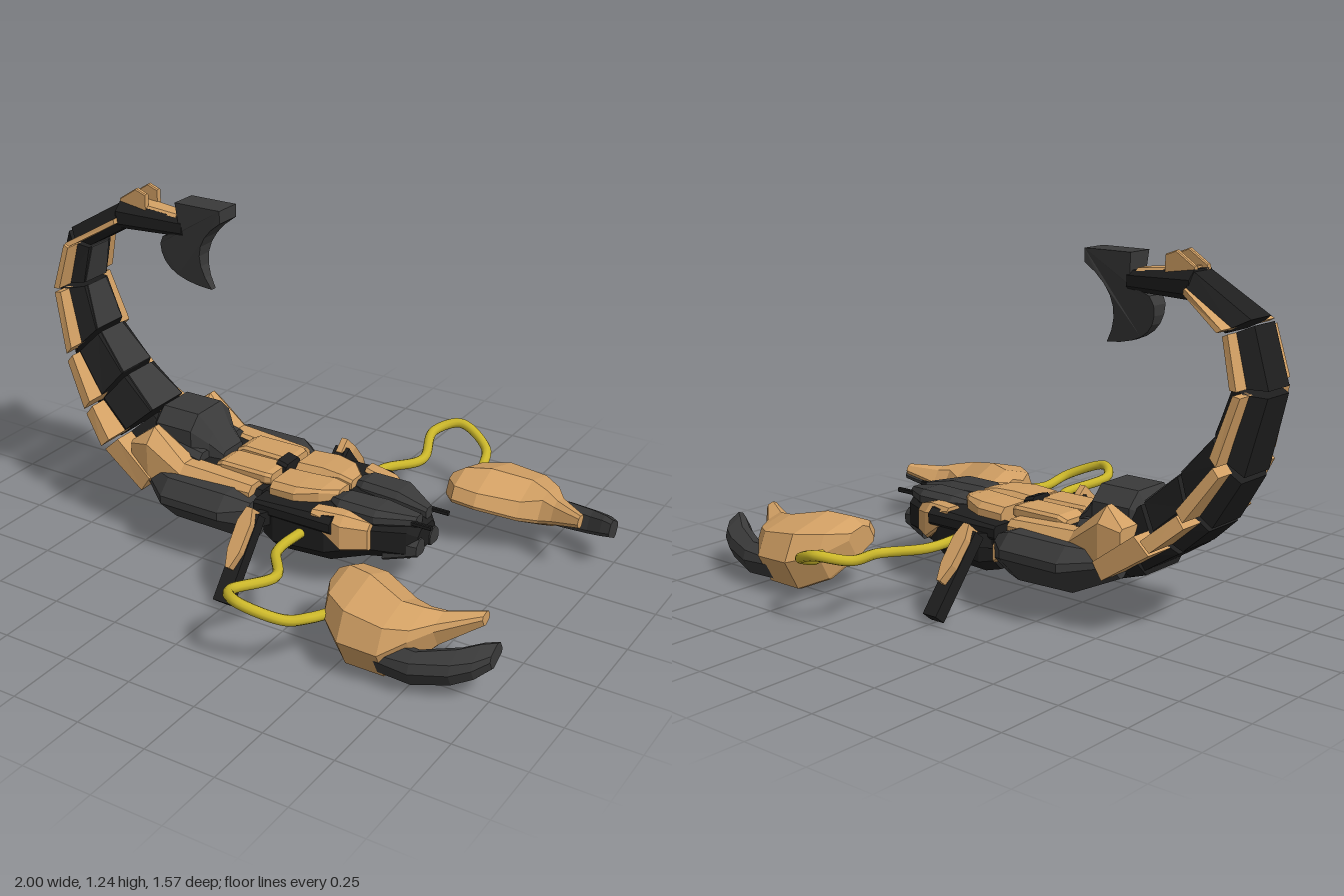
import * as THREE from 'three';

const mat = (name, color, extra = {}) =>
  Object.assign(new THREE.MeshStandardMaterial({ color, flatShading: true, ...extra }), { name });

export function createModel() {
  const root = new THREE.Group();
  const tan = mat('tan armour', 0xd2a064);
  const grey = mat('dark grey', 0x3a3a3a);
  const black = mat('black', 0x1e1e1e);
  const yellow = mat('cable yellow', 0xcab62a, { flatShading: false });

  const add = (name, geo, material) => {
    const m = new THREE.Mesh(geo, material);
    m.name = name;
    root.add(m);
  };

  // Closed skin over convex rings of [x, y, z]; winding is fixed from the signed volume
  function loft(rings) {
    const tris = [], n = rings[0].length, last = rings.length - 1;
    for (let i = 0; i < last; i++) for (let j = 0; j < n; j++) {
      const k = (j + 1) % n, a = rings[i], b = rings[i + 1];
      tris.push([a[j], a[k], b[k]], [a[j], b[k], b[j]]);
    }
    for (let j = 1; j < n - 1; j++) {
      tris.push([rings[0][0], rings[0][j + 1], rings[0][j]]);
      tris.push([rings[last][0], rings[last][j], rings[last][j + 1]]);
    }
    const v = (p) => new THREE.Vector3(...p), o = v(rings[0][0]);
    let volume = 0;
    for (const [a, b, c] of tris) volume += v(a).sub(o).dot(v(b).sub(o).cross(v(c).sub(o)));
    const pos = tris.flatMap((t) => (volume < 0 ? [t[0], t[2], t[1]] : t).flat());
    const g = new THREE.BufferGeometry();
    g.setAttribute('position', new THREE.Float32BufferAttribute(pos, 3));
    g.computeVertexNormals();
    return g;
  }

  // Rectangle section across x with chamfered top (ct) and bottom (cb) corners
  const section = ([x, y0, y1, z0, z1, ct = 0.01, cb = 0.01]) => [
    [x, y0, z0 + cb], [x, y0, z1 - cb], [x, y0 + cb, z1], [x, y1 - ct, z1],
    [x, y1, z1 - ct], [x, y1, z0 + ct], [x, y1 - ct, z0], [x, y0 + cb, z0]];
  // Centred hull: rows are x, y0, y1, half width, chamfers
  const centred = (name, m, rows) =>
    add(name, loft(rows.map(([x, y0, y1, w, ...c]) => section([x, y0, y1, -w, w, ...c]))), m);
  // Mirrored lofts on both sides of the body
  const mirror = (name, m, rings) => {
    for (const s of [1, -1]) {
      add((s > 0 ? 'left ' : 'right ') + name, loft(rings.map((r) => r.map(([x, y, z]) => [x, y, z * s]))), m);
    }
  };
  const pair = (name, m, rows, map = (p) => p) => mirror(name, m, rows.map((r) => section(r).map(map)));

  // Abdomen
  centred('abdomen', black, [
    [-0.58, 0.19, 0.34, 0.14, 0.04, 0.05], [-0.45, 0.15, 0.32, 0.18, 0.04, 0.08],
    [-0.25, 0.115, 0.3, 0.2, 0.04, 0.11], [-0.055, 0.08, 0.28, 0.19, 0.04, 0.11]]);
  pair('side pod', grey, [
    [-0.52, 0.18, 0.27, 0.08, 0.2, 0.02, 0.05], [-0.38, 0.12, 0.29, 0.08, 0.31, 0.05, 0.09],
    [-0.14, 0.11, 0.29, 0.08, 0.31, 0.05, 0.1], [-0.06, 0.11, 0.26, 0.08, 0.24, 0.02, 0.07]]);
  pair('shoulder plate', tan, [
    [-0.57, 0.27, 0.37, 0.12, 0.22], [-0.49, 0.23, 0.43, 0.11, 0.235, 0.05],
    [-0.36, 0.22, 0.32, 0.1, 0.22, 0.03], [-0.08, 0.22, 0.305, 0.1, 0.2, 0.02]]);
  pair('back plate', tan, [
    [-0.27, 0.29, 0.32, 0.01, 0.12], [-0.24, 0.29, 0.335, 0.01, 0.13],
    [-0.06, 0.29, 0.335, 0.006, 0.13], [-0.04, 0.29, 0.33, 0.006, 0.12]]);
  pair('abdomen trim', tan, [
    [-0.11, 0.18, 0.21, 0.17, 0.235], [-0.055, 0.16, 0.23, 0.17, 0.245]]);
  // Raised hump in front of the tail
  centred('tail hump', grey, [
    [-0.57, 0.36, 0.4, 0.08], [-0.53, 0.33, 0.46, 0.12, 0.05],
    [-0.38, 0.31, 0.46, 0.12, 0.05], [-0.33, 0.3, 0.39, 0.08, 0.03],
    [-0.28, 0.29, 0.33, 0.06]]);
  pair('hump flank', grey, [
    [-0.5, 0.3, 0.37, 0.08, 0.14, 0.02], [-0.33, 0.28, 0.34, 0.07, 0.14, 0.02]]);

  // Waist joint
  centred('waist joint', black, [[-0.07, 0.11, 0.2, 0.13], [0, 0.11, 0.2, 0.13]]);
  centred('waist pin', black, [[-0.065, 0.26, 0.35, 0.045], [-0.025, 0.26, 0.34, 0.045]]);

  // Front body
  centred('front body', black, [
    [-0.02, 0.11, 0.27, 0.2, 0.03, 0.04], [0.03, 0.1, 0.28, 0.22, 0.03, 0.04],
    [0.23, 0.1, 0.29, 0.21, 0.03, 0.05], [0.34, 0.12, 0.28, 0.15, 0.04, 0.05],
    [0.48, 0.13, 0.27, 0.09, 0.03, 0.03], [0.51, 0.16, 0.24, 0.06, 0.02, 0.02]]);
  pair('body side block', black, [
    [-0.045, 0.23, 0.28, 0.13, 0.225], [0.26, 0.23, 0.29, 0.13, 0.225, 0.02]]);
  pair('front plate', tan, [
    [-0.02, 0.27, 0.325, 0.006, 0.16, 0.02], [0.08, 0.27, 0.33, 0.006, 0.165, 0.02],
    [0.16, 0.27, 0.33, 0.006, 0.13], [0.21, 0.27, 0.32, 0.006, 0.08]]);
  pair('cheek plate', tan, [
    [0.18, 0.25, 0.3, 0.15, 0.215], [0.29, 0.17, 0.295, 0.1, 0.21, 0.03],
    [0.37, 0.17, 0.27, 0.09, 0.16, 0.02]]);
  pair('head plate', grey, [
    [0.19, 0.27, 0.3, 0.05, 0.1], [0.24, 0.27, 0.315, 0.02, 0.14, 0.02],
    [0.38, 0.26, 0.315, 0.012, 0.14, 0.02], [0.5, 0.25, 0.29, 0.012, 0.06]]);
  pair('jaw', grey, [
    [0.4, 0.12, 0.22, 0.02, 0.11, 0.02], [0.515, 0.15, 0.21, 0.02, 0.08, 0.02]]);
  pair('feeler', black, [
    [0.46, 0.262, 0.278, 0.055, 0.07, 0.003, 0.003], [0.56, 0.262, 0.278, 0.055, 0.07, 0.003, 0.003]]);

  // Legs: beams in the plane x = 0 through points [z, y, half width], t0 thick below and t1 above
  const beam = (name, m, pts, t0, t1) => {
    const a = pts[0], b = pts[pts.length - 1], len = Math.hypot(b[0] - a[0], b[1] - a[1]);
    const nz = (a[1] - b[1]) / len, ny = (b[0] - a[0]) / len;
    mirror(name, m, pts.map(([z, y, w]) => [[-w, -t0], [w, -t0], [w, t1], [-w, t1]]
      .map(([x, t]) => [x, y + ny * t, z + nz * t])));
  };
  beam('leg axle', black, [[0.17, 0.21, 0.016], [0.31, 0.25, 0.016]], 0.025, 0.025);
  beam('leg strut', black, [[0.28, 0.262, 0.029], [0.48, 0.016, 0.029]], 0.025, 0.025);
  beam('leg guard', tan, [
    [0.29, 0.285, 0.012], [0.325, 0.245, 0.027], [0.39, 0.168, 0.025], [0.43, 0.12, 0.008]], 0.026, 0.032);

  // Claws: sections laid on a plane that slopes down outwards
  const slope = 0.49, c = Math.cos(slope), s = Math.sin(slope);
  const tilt = ([x, n, w]) => [x, 0.15 - w * s + n * c, 0.465 + w * c + n * s];
  const domed = ([x, n, w]) => tilt([x, n > 0 ? n + w * 0.22 : n, w]);
  pair('claw palm', tan, [
    [0.405, -0.035, 0.07, -0.12, -0.02, 0.02], [0.45, -0.055, 0.1, -0.165, 0.09, 0.06],
    [0.54, -0.06, 0.115, -0.165, 0.165, 0.08], [0.68, -0.06, 0.1, -0.1, 0.165, 0.07],
    [0.75, -0.05, 0.08, -0.075, 0.09, 0.03], [0.8, -0.04, 0.06, -0.085, 0.015, 0.02],
    [0.915, -0.025, 0.045, -0.135, -0.09]], domed);
  pair('claw finger', grey, [
    [0.66, -0.045, 0.045, 0.08, 0.165, 0.015], [0.78, -0.045, 0.05, 0.075, 0.17, 0.025],
    [0.9, -0.04, 0.045, 0.02, 0.13, 0.025], [0.96, -0.035, 0.04, -0.02, 0.09, 0.02],
    [1.0, -0.03, 0.03, -0.04, 0.04, 0.015]], tilt);

  // Cables from the body to the claws
  const path = [[0.14, 0.2, 0.18], [0.14, 0.2, 0.36], [0.225, 0.2, 0.5], [0.175, 0.23, 0.69],
    [0.25, 0.25, 0.765], [0.385, 0.2, 0.71], [0.42, 0.165, 0.61], [0.47, 0.165, 0.53]];
  for (const side of [1, -1]) {
    const curve = new THREE.CatmullRomCurve3(path.map(([x, y, z]) => new THREE.Vector3(x, y, z * side)));
    add((side > 0 ? 'left' : 'right') + ' cable', new THREE.TubeGeometry(curve, 64, 0.018, 10), yellow);
  }

  // Tail: stations of outer xy, inner xy, half width, fin reach
  const stations = [
    [-0.52, 0.17, -0.43, 0.31, 0.17, 0.24], [-0.717, 0.294, -0.567, 0.43, 0.15, 0.235],
    [-0.818, 0.385, -0.7, 0.545, 0.135, 0.2], [-0.925, 0.56, -0.82, 0.685, 0.12, 0.168],
    [-1.0, 0.84, -0.877, 0.855, 0.1, 0.15], [-0.936, 1.053, -0.845, 1.005, 0.095, 0.148],
    [-0.7, 1.19, -0.69, 1.095, 0.08, 0.1]];
  const finSpan = [[0.15, 0.55], [0.18, 0.42], [0.25, 0.47], [0.38, 0.6], [0.45, 0.65], [0.5, 0.7]];
  const mix = (a, b, t) => a.map((v, i) => v + (b[i] - v) * t);
  const at = (st, t, z) => [st[0] + (st[2] - st[0]) * t, st[1] + (st[3] - st[1]) * t, z];
  const band = (st, t0, t1, z0, z1) => [at(st, t0, z0), at(st, t0, z1), at(st, t1, z1), at(st, t1, z0)];
  const tailRing = (st) => [[0, 0.6], [0.5, 1], [1, 0.65], [1, -0.65], [0.5, -1], [0, -0.6]]
    .map(([t, k]) => at(st, t, st[4] * k));
  finSpan.forEach(([lo, hi], i) => {
    const a = mix(stations[i], stations[i + 1], 0.04), b = mix(stations[i], stations[i + 1], 0.95);
    add('tail segment ' + (i + 1), loft([tailRing(a), tailRing(b)]), black);
    if (i > 0 && i < 5) {
      add('tail inner plate ' + (i + 1),
        loft([a, b].map((st, k) => band(st, 0.98, 1.03, -st[4] * (0.6 - k * 0.1), st[4] * (0.6 - k * 0.1)))), grey);
    }
    // Flared side fins
    mirror('tail fin ' + (i + 1), tan, [
      band(a, lo, hi, a[4] * 0.7, a[5] + 0.004), band(b, lo, hi, b[4] * 0.7, b[5] - 0.008)]);
  });
  centred('tail tip', black, [
    [-0.71, 1.095, 1.19, 0.075, 0.03, 0.02], [-0.45, 1.1, 1.165, 0.045, 0.015, 0.015]]);
  centred('tip cap', tan, [[-0.69, 1.15, 1.195, 0.045], [-0.48, 1.14, 1.175, 0.035]]);
  pair('tip prong', tan, [
    [-0.71, 1.17, 1.2, 0.025, 0.045, 0.004], [-0.64, 1.17, 1.245, 0.025, 0.045, 0.004],
    [-0.6, 1.16, 1.23, 0.025, 0.045, 0.004]]);

  // Stinger: hooked blade that thins toward its point
  const blade = new THREE.Shape();
  blade.moveTo(-0.47, 1.225).lineTo(-0.285, 1.225).lineTo(-0.285, 1.18);
  blade.quadraticCurveTo(-0.45, 1.07, -0.35, 0.92);
  blade.quadraticCurveTo(-0.56, 0.93, -0.55, 1.06);
  blade.lineTo(-0.535, 1.09).lineTo(-0.46, 1.12);
  const sting = new THREE.ExtrudeGeometry(blade, { depth: 2, bevelEnabled: false, curveSegments: 7 });
  sting.translate(0, 0, -1);
  const p = sting.attributes.position;
  for (let i = 0; i < p.count; i++) {
    p.setZ(i, p.getZ(i) * THREE.MathUtils.mapLinear(Math.min(p.getY(i), 1.18), 0.92, 1.18, 0.012, 0.05));
  }
  sting.computeVertexNormals();
  add('stinger', sting, grey);

  return root;
}
